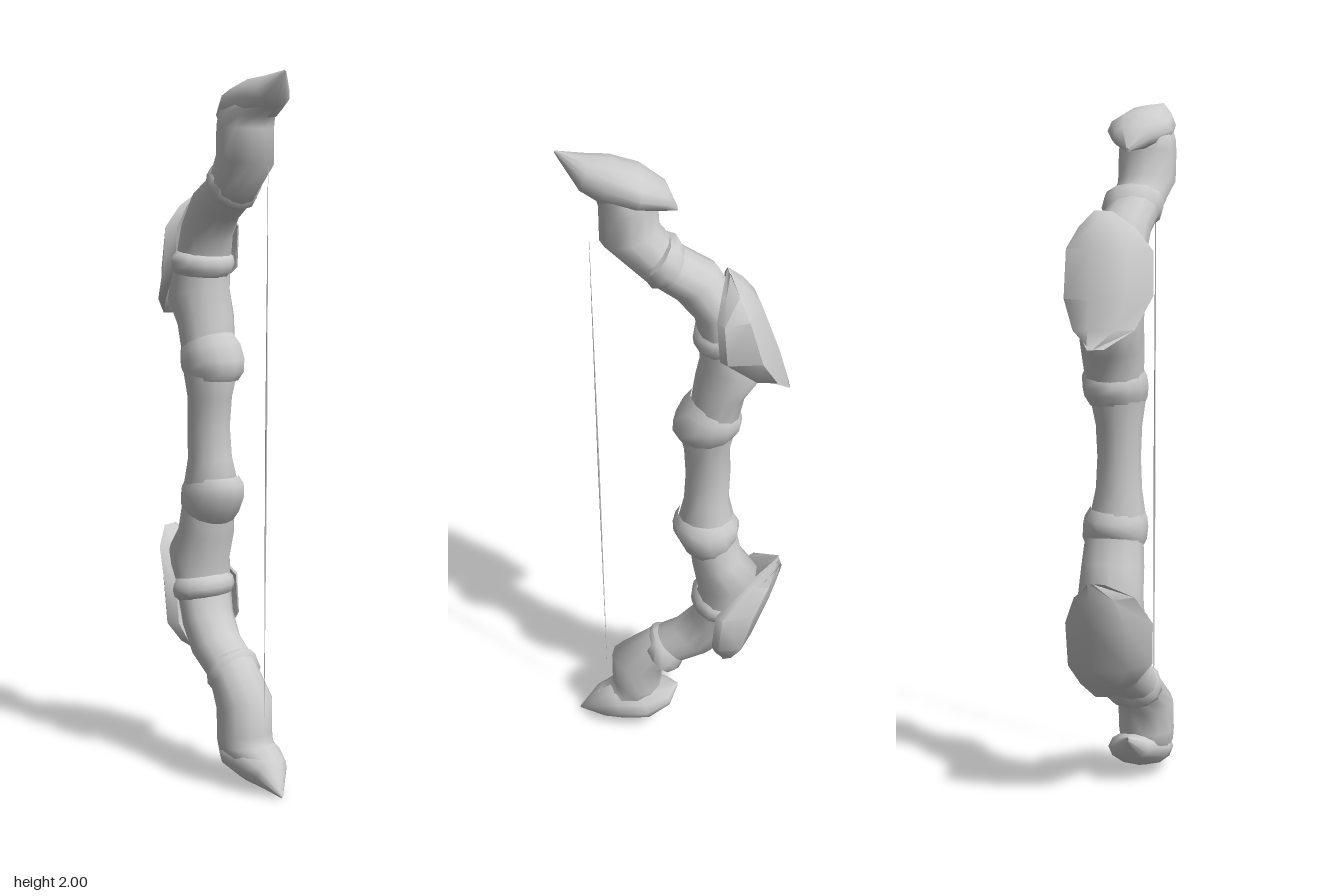
import * as THREE from 'three';
import { toCreasedNormals } from 'three/addons/utils/BufferGeometryUtils.js';

const SIDES = 12;

// Skin a stack of closed rings of [x, y, z]; lower = mirrored about y = 1
function skin(rings, lower, crease) {
  const n = rings[0].length, pos = [], idx = [];
  for (const ring of rings) for (const [x, y, z] of ring) pos.push(x, lower ? 2 - y : y, z);
  for (let i = 0; i < rings.length - 1; i++) {
    for (let j = 0; j < n; j++) {
      const a = i * n + j, b = i * n + (j + 1) % n, c = a + n, d = b + n;
      if (lower) idx.push(a, b, c, b, d, c);
      else idx.push(a, c, b, b, c, d);
    }
  }
  const geo = new THREE.BufferGeometry();
  geo.setAttribute('position', new THREE.Float32BufferAttribute(pos, 3));
  geo.setIndex(idx);
  return toCreasedNormals(geo, crease);
}

// Elliptical ring between a left and a right edge point, with z centre and z radius
function oval([lx, ly, rx, ry, zc, rz]) {
  return Array.from({ length: SIDES }, (_, j) => {
    const a = j / SIDES * Math.PI * 2, c = Math.cos(a) / 2;
    return [(lx + rx) / 2 + (rx - lx) * c, (ly + ry) / 2 + (ry - ly) * c, zc + rz * Math.sin(a)];
  });
}

// Crescent ring of the curved guard: outer arc, then the inner arc back
function crescent([cx, cy, mx, my, w]) {
  const pts = [], steps = 4;
  const add = (a, depth, wide, shift) => {
    const c = Math.cos(a) * depth, s = Math.sin(a) * wide;
    pts.push([mx + shift * w + (cx - mx) * c - s * w * 0.2, my + (cy - my) * c, w * s - 0.012 - 0.043 * Math.cos(a)]);
  };
  for (let i = 0; i <= steps; i++) add(Math.PI * (0.5 - i / steps), 1, 1, 0);
  for (let i = 0; i <= steps; i++) add(Math.PI * (i / steps - 0.5), 0.75, 0.82, 0.18);
  return pts;
}

// Rows: left x, left y, right x, right y, z centre, z radius
const grip = [
  [-0.155, 1.0, -0.025, 1.0, 0.007, 0.062],
  [-0.152, 1.09, -0.02, 1.09, 0.006, 0.066],
  [-0.17, 1.17, 0.0, 1.17, 0.003, 0.08],
  [-0.172, 1.21, -0.02, 1.23, 0, 0.085],
];
const parts = {
  gripBand: [
    [-0.164, 1.15, -0.002, 1.14, 0, 0.076],
    [-0.182, 1.18, 0.014, 1.165, -0.003, 0.09],
    [-0.183, 1.2, 0.012, 1.2, -0.004, 0.094],
    [-0.178, 1.215, -0.012, 1.25, -0.005, 0.092],
    [-0.173, 1.225, -0.036, 1.28, -0.005, 0.082],
  ],
  innerLimb: [
    [-0.172, 1.2, -0.035, 1.25, -0.005, 0.083],
    [-0.19, 1.29, -0.045, 1.33, -0.008, 0.09],
    [-0.24, 1.36, -0.06, 1.41, -0.01, 0.093],
    [-0.21, 1.46, -0.06, 1.46, -0.006, 0.092],
    [-0.195, 1.5, -0.06, 1.48, -0.005, 0.09],
  ],
  limbBand: [
    [-0.2, 1.455, -0.06, 1.435, 0, 0.088],
    [-0.21, 1.47, -0.045, 1.45, 0, 0.1],
    [-0.21, 1.49, -0.042, 1.47, 0, 0.105],
    [-0.205, 1.51, -0.045, 1.49, 0, 0.1],
    [-0.19, 1.52, -0.06, 1.5, 0, 0.086],
  ],
  outerLimb: [
    [-0.19, 1.49, -0.06, 1.47, -0.005, 0.09],
    [-0.16, 1.6, -0.045, 1.54, 0, 0.085],
    [-0.11, 1.68, 0.01, 1.6, 0.015, 0.078],
    [-0.01, 1.735, 0.09, 1.65, 0.035, 0.076],
    [0.04, 1.79, 0.2, 1.75, 0.062, 0.083],
    [0.045, 1.86, 0.2, 1.85, 0.064, 0.083],
    [0.05, 1.9, 0.208, 1.88, 0.064, 0.08],
    [0.08, 1.935, 0.25, 1.905, 0.066, 0.066],
  ],
  tipBand: [
    [-0.025, 1.72, 0.05, 1.63, 0.028, 0.076],
    [-0.008, 1.76, 0.073, 1.63, 0.03, 0.088],
    [0.012, 1.765, 0.1, 1.67, 0.032, 0.086],
    [0.03, 1.75, 0.095, 1.69, 0.036, 0.074],
  ],
  // Pointed tip, running sideways: top edge, then bottom edge
  pointedTip: [
    [-0.003, 1.862, -0.003, 1.85, 0.02, 0.004],
    [0.025, 1.925, 0.03, 1.855, 0.03, 0.055],
    [0.09, 1.965, 0.11, 1.86, 0.045, 0.094],
    [0.165, 1.988, 0.2, 1.875, 0.06, 0.08],
    [0.225, 1.992, 0.25, 1.905, 0.068, 0.06],
    [0.305, 2.0, 0.307, 1.995, 0.092, 0.002],
  ],
};
// Rows: crest x, crest y, rim x, rim y, half width
const guard = [
  [-0.307, 1.32, -0.304, 1.322, 0.004],
  [-0.295, 1.37, -0.225, 1.37, 0.08],
  [-0.272, 1.45, -0.145, 1.46, 0.124],
  [-0.222, 1.59, -0.135, 1.58, 0.122],
  [-0.178, 1.65, -0.135, 1.64, 0.076],
  [-0.137, 1.69, -0.132, 1.688, 0.006],
];

export function createModel() {
  const group = new THREE.Group();
  const gray = new THREE.MeshStandardMaterial({ color: 0xcccccc });
  gray.name = 'pale gray';
  const add = (name, geo) => {
    const mesh = new THREE.Mesh(geo, gray);
    mesh.name = name;
    group.add(mesh);
    return mesh;
  };

  // Handle, symmetric about its middle
  const below = grip.slice(1).reverse().map(([a, b, c, d, z, r]) => [a, 2 - b, c, 2 - d, z, r]);
  add('grip', skin([...below, ...grip].map(oval), false, 0.9));

  // Upper and lower limbs with bands, tips and guards
  for (const lower of [false, true]) {
    const side = lower ? 'lower ' : 'upper ';
    for (const [name, rows] of Object.entries(parts)) {
      add(side + name, skin(rows.map(oval), lower, 1));
    }
    add(side + 'guard', skin(guard.map(crescent), lower, 0.9));
  }

  // Bowstring, tapered to both ends and leaning very slightly
  const profile = [[0.0005, -0.77], [0.003, 0], [0.0005, 0.77]].map(([r, y]) => new THREE.Vector2(r, y));
  const string = add('bowstring', new THREE.LatheGeometry(profile, 6));
  string.position.set(0.221, 0.98, 0.077);
  string.rotation.z = -0.006;
  return group;
}
